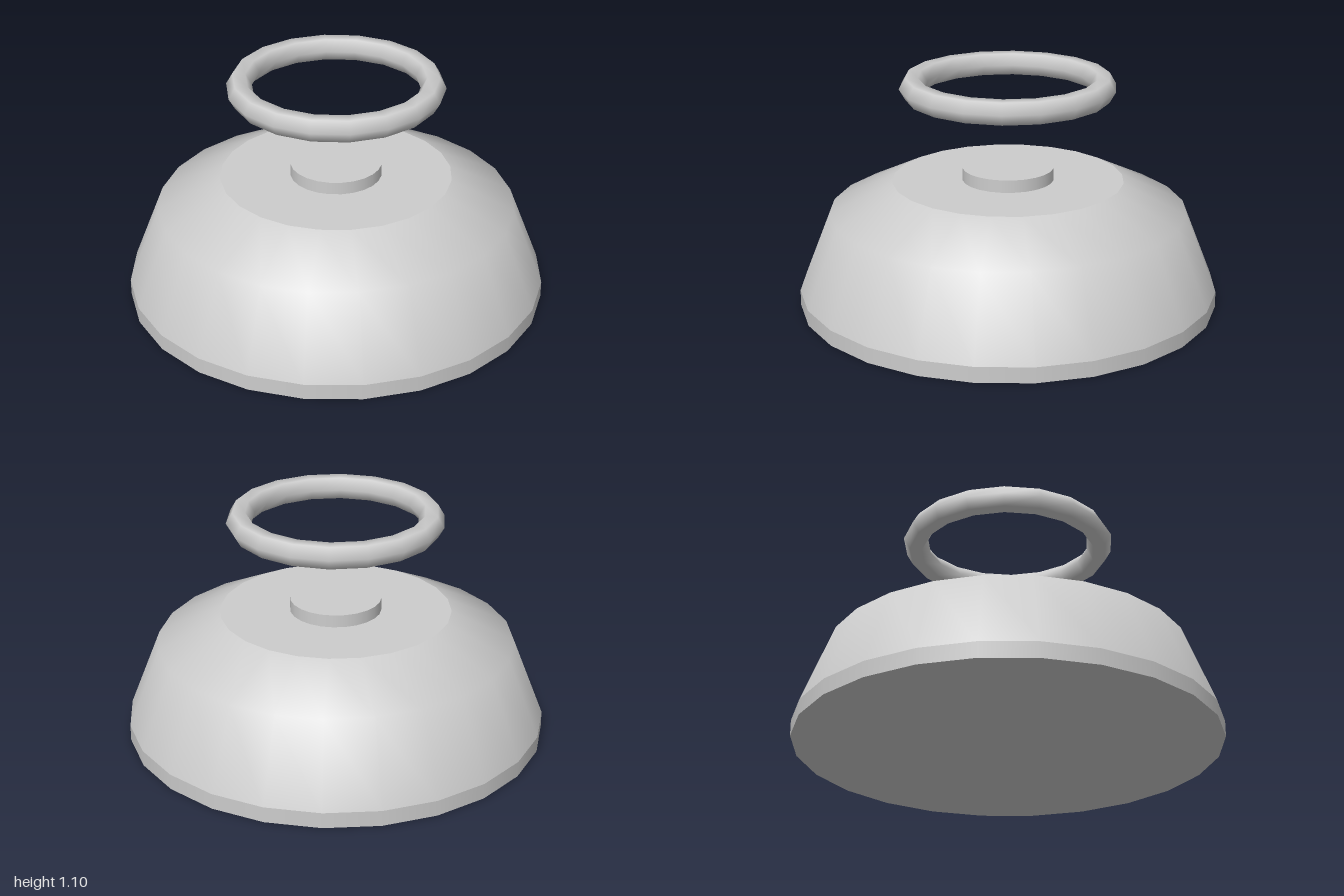
import * as THREE from 'three';

export function createModel() {
  const model = new THREE.Group();
  const grey = new THREE.MeshStandardMaterial({ color: 0xcccccc });
  grey.name = 'light grey';

  function add(name, geometry, y) {
    const mesh = new THREE.Mesh(geometry, grey);
    mesh.name = name;
    mesh.position.y = y;
    model.add(mesh);
    return mesh;
  }

  // Straight band at the foot, closed underneath
  add('baseRim', new THREE.CylinderGeometry(1, 1, 0.075, 24), 0.0375);

  // Smooth sloping shell with a shoulder
  const profile = [[1, 0.075], [0.85, 0.455], [0.55, 0.6]].map(([r, y]) => new THREE.Vector2(r, y));
  add('bodyShell', new THREE.LatheGeometry(profile, 24), 0);

  // Flat top
  add('topPlate', new THREE.CircleGeometry(0.55, 24).rotateX(-Math.PI / 2), 0.6);

  // Low round button on the top
  add('button', new THREE.CylinderGeometry(0.217, 0.217, 0.06, 24), 0.63);

  // Floating ring with a six-sided section
  add('floatingRing', new THREE.TorusGeometry(0.45, 0.06, 6, 18).rotateX(-Math.PI / 2), 1.053);

  return model;
}
